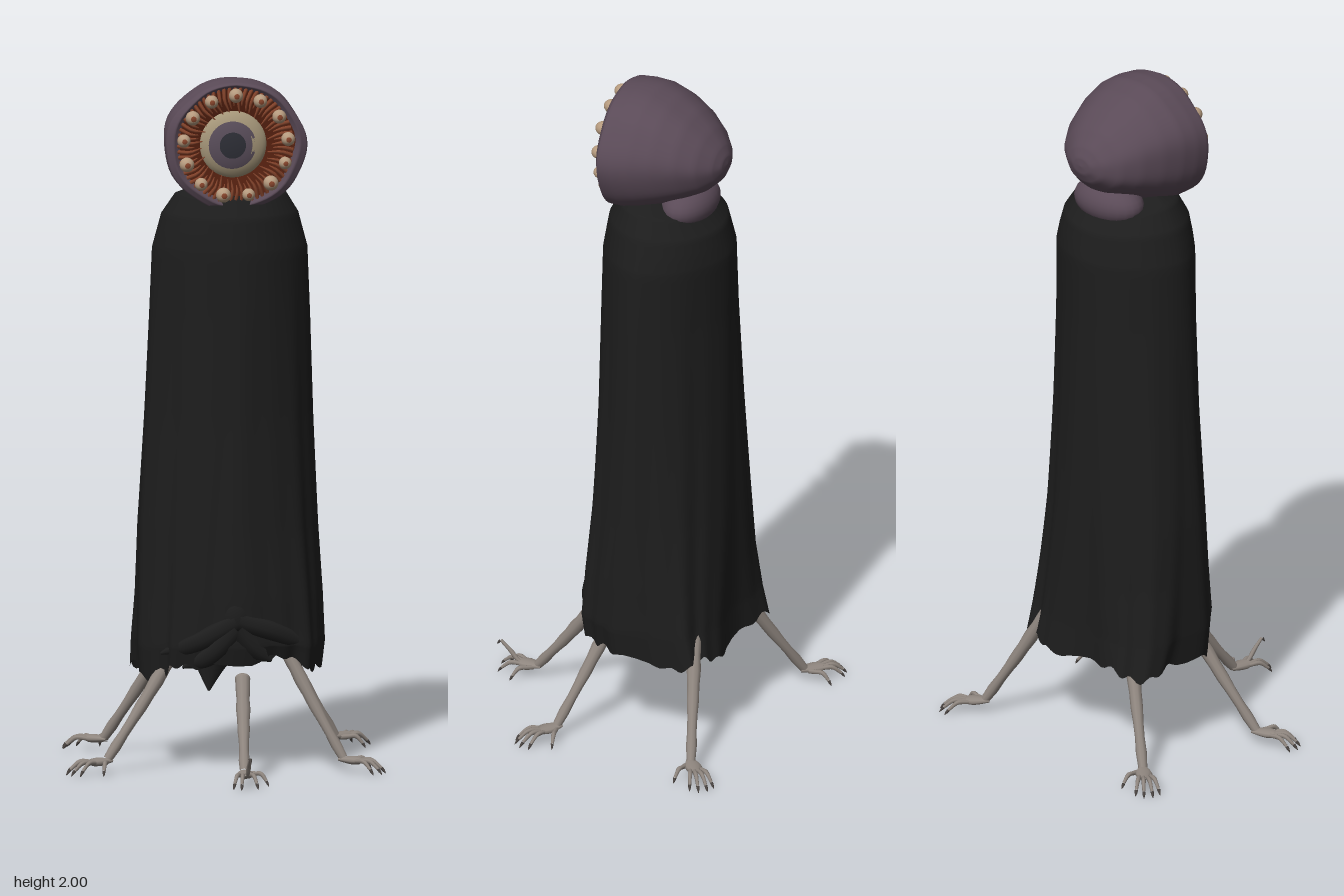
import * as THREE from 'three';
import { mergeGeometries } from 'three/addons/utils/BufferGeometryUtils.js';

const mat = (name, color, side = THREE.FrontSide) => {
  const m = new THREE.MeshStandardMaterial({ color, side });
  m.name = name;
  return m;
};
const V = (x, y, z) => new THREE.Vector3(x, y, z);
const lerp = THREE.MathUtils.lerp;

// Interpolate rows of numbers at position t in 0..1
function sample(rows, t) {
  const f = t * (rows.length - 1), i = Math.min(Math.floor(f), rows.length - 2);
  return rows[i].map((v, k) => lerp(v, rows[i + 1][k], f - i));
}

// Skin a surface over closed rings of points
function loft(rows, cols, point) {
  const pos = [], idx = [];
  for (let i = 0; i <= rows; i++)
    for (let j = 0; j < cols; j++) pos.push(...point(i / rows, (j / cols) * Math.PI * 2));
  for (let i = 0; i < rows; i++)
    for (let j = 0; j < cols; j++) {
      const k = (j + 1) % cols, a = i * cols + j, b = i * cols + k, c = a + cols, d = b + cols;
      idx.push(a, c, b, b, c, d);
    }
  const g = new THREE.BufferGeometry();
  g.setAttribute('position', new THREE.Float32BufferAttribute(pos, 3));
  g.setIndex(idx);
  g.computeVertexNormals();
  return g;
}

// Tube with a radius that changes along its path
function taper(points, radii, n = 16, sides = 8) {
  const curve = new THREE.CatmullRomCurve3(points);
  const g = new THREE.TubeGeometry(curve, n, 1, sides);
  const p = g.attributes.position, v = V(0, 0, 0), rows = radii.map(r => [r]);
  for (let i = 0; i < p.count; i++) {
    const t = Math.floor(i / (sides + 1)) / n, c = curve.getPointAt(t);
    v.fromBufferAttribute(p, i).sub(c).multiplyScalar(sample(rows, t)[0]).add(c);
    p.setXYZ(i, v.x, v.y, v.z);
  }
  return g;
}

const ball = (r, sx, sy, sz, x, y, z) =>
  new THREE.SphereGeometry(r, 24, 16).scale(sx, sy, sz).translate(x, y, z);

export function createModel() {
  const model = new THREE.Group();
  const cloth = mat('black cloth', 0x1d1d1d, THREE.DoubleSide);
  const skin = mat('purple skin', 0x5a4a57, THREE.DoubleSide);
  const bone = mat('grey bone', 0x8f867f);
  const nail = mat('dark nail', 0x4a4441);
  const flesh = mat('dark red flesh', 0x55200f, THREE.DoubleSide);
  const fibre = mat('rust fibre', 0x87452c);
  const ivory = mat('tan ivory', 0xb59a7e);
  const sclera = mat('eye white', 0xa59679);
  const iris = mat('iris', 0x5a4e5b);
  const pupil = mat('pupil', 0x2e2f37);
  const add = (name, geo, material, parent = model) => {
    const m = new THREE.Mesh(geo, material);
    m.name = name;
    parent.add(m);
    return m;
  };

  // Cloak: y, min x, max x, min z, max z, squareness
  const cloak = [
    [0.28, -0.245, 0.278, -0.335, 0.105, 0.6],
    [0.36, -0.252, 0.288, -0.325, 0.12, 0.66],
    [0.5, -0.25, 0.285, -0.32, 0.12, 0.76],
    [0.7, -0.245, 0.275, -0.313, 0.112, 0.88],
    [1.0, -0.227, 0.264, -0.303, 0.102, 0.99],
    [1.3, -0.212, 0.256, -0.293, 0.097, 1.06],
    [1.5, -0.202, 0.249, -0.288, 0.092, 1.08],
    [1.6, -0.175, 0.222, -0.265, 0.075, 1.06],
    [1.66, -0.135, 0.185, -0.22, 0.04, 1],
    [1.69, -0.06, 0.1, -0.14, -0.02, 1],
    [1.7, 0.02, 0.021, -0.08, -0.079, 1],
  ];
  add('cloak', loft(80, 120, (t, a) => {
    const [y, x0, x1, z0, z1, e] = sample(cloak, t);
    const c = Math.cos(a), s = Math.sin(a), diagonal = Math.sin(2 * a);
    const low = Math.max(0, 1 - t / 0.62), hem = Math.max(0, 1 - t / 0.12);
    // The front right and back left corners hang slacker; the back right one flares
    let corner = 1;
    if (diagonal < 0 && s > 0) corner += 0.12 * diagonal * THREE.MathUtils.clamp((0.65 - t) / 0.45, 0, 1);
    if (diagonal < 0 && s < 0) corner += diagonal * (0.03 * low + 0.07 * Math.sin(Math.PI * Math.min(1, t / 0.65)));
    if (diagonal > 0 && s < 0) corner += 0.07 * diagonal * Math.max(0, 1 - t / 0.2);
    const fold = corner * (0.995 + 0.005 * Math.sin(7 * a) * Math.max(0, 1 - t)
      + low * (0.03 * Math.sin(9 * a + 0.6) + 0.016 * Math.sin(17 * a + 3 * t) - 0.012));
    const px = Math.sign(c) * Math.abs(c) ** e * fold, pz = Math.sign(s) * Math.abs(s) ** e * fold;
    const front = Math.max(0, s) ** 3, back = Math.max(0, -s);
    const jag = 0.012 * Math.sin(6 * a + 0.5) + 0.008 * Math.sin(19 * a + 1) + 0.05 * front
      + 0.035 * Math.max(0, s) * Math.max(0, c) - 0.01;
    const slope = t > 0.6 ? back * 0.035 * (t - 0.6) / 0.4 : 0;
    const dent = 0.03 * low * back ** 8;
    return [(x0 + x1) / 2 + px * (x1 - x0) / 2, y + hem * jag - slope,
      (z0 + z1) / 2 + pz * (z1 - z0) / 2 + dent];
  }), cloth);

  // Knotted bunch of cloth at the front hem
  add('knot', ball(0.05, 0.9, 1.2, 0.55, 0.02, 0.45, 0.1), cloth);
  const swags = [
    [[0.02, 0.44, 0.1], [-0.09, 0.38, 0.075], [-0.19, 0.34, 0.02]],
    [[0.02, 0.42, 0.1], [-0.06, 0.34, 0.08], [-0.13, 0.3, 0.04]],
    [[0.02, 0.44, 0.1], [0.12, 0.41, 0.095], [0.23, 0.36, 0.06]],
    [[0.02, 0.42, 0.1], [0.07, 0.36, 0.095], [0.12, 0.32, 0.08]],
  ];
  for (const s of swags)
    add('swag', taper(s.map(p => V(...p)), [0.034, 0.034, 0.03, 0.004]), cloth);
  add('hangingCloth', taper([V(-0.02, 0.38, -0.05), V(-0.035, 0.29, -0.065), V(-0.04, 0.215, -0.07)],
    [0.07, 0.05, 0.003]), cloth);

  // Head shell: z, half width, top y, bottom y
  const shell = [
    [0.035, 0.165, 1.975, 1.652], [0.047, 0.182, 1.988, 1.636], [0.035, 0.203, 1.994, 1.622],
    [-0.01, 0.204, 2.0, 1.622], [-0.06, 0.198, 1.998, 1.635], [-0.12, 0.18, 1.977, 1.658],
    [-0.18, 0.152, 1.942, 1.685], [-0.23, 0.115, 1.898, 1.712], [-0.265, 0.07, 1.855, 1.745],
    [-0.28, 0.035, 1.825, 1.775], [-0.283, 0.001, 1.801, 1.8],
  ];
  add('head', loft(50, 64, (t, a) => {
    const [z, w, top, bot] = sample(shell, t);
    const lump = 1 + 0.012 * Math.sin(7 * a + 1) + 0.008 * Math.sin(4 * a + 9 * t);
    return [0.025 + Math.cos(a) * w * lump,
      (top + bot) / 2 + Math.sin(a) * Math.min(lump, 1) * (top - bot) / 2, z];
  }), skin);
  add('neck', ball(0.1, 1.2, 0.65, 0.76, 0.025, 1.658, -0.165), skin);

  // Face: flesh pit, fibres, eye and bead ring
  const face = new THREE.Group();
  face.name = 'face';
  face.position.set(0.022, 1.813, 0);
  model.add(face);
  add('fleshPit', loft(6, 48, (t, a) => {
    const r = lerp(0.175, 0.06, t);
    return [Math.cos(a) * r, Math.sin(a) * r, 0.038 - 0.03 * t];
  }), flesh, face);
  const fibres = [], beads = [], beadSpots = [];
  for (let i = 0; i < 64; i++) {
    const a = (i / 64) * Math.PI * 2, k = 0.012 * Math.sin(i * 2.4);
    const at = (r, z, d = 0) => V(Math.cos(a + d) * r, Math.sin(a + d) * r, z);
    fibres.push(taper([at(0.168, 0.036), at(0.135, 0.043, 0.04), at(0.106 + k, 0.036, k * 3)],
      [0.006, 0.0052, 0.0015], 5, 5));
  }
  for (let i = 0; i < 13; i++) {
    const a = ((i + 0.25) / 13) * Math.PI * 2, r = 0.02 + 0.004 * Math.sin(i * 3.1);
    const x = Math.cos(a) * 0.152, y = Math.sin(a) * 0.146;
    beads.push(ball(r, 1, 1, 1.1, x, y, 0.056));
    beadSpots.push(new THREE.SphereGeometry(r * 1.03, 12, 6, 0, Math.PI * 2, 0, 0.4)
      .rotateX(Math.PI / 2).scale(1, 1, 1.1).translate(x, y, 0.056));
  }
  add('fibres', mergeGeometries(fibres), fibre, face);
  add('beads', mergeGeometries(beads), ivory, face);
  add('beadSpots', mergeGeometries(beadSpots), fibre, face);
  const cap = (r, angle) => new THREE.SphereGeometry(r, 40, 16, 0, Math.PI * 2, 0, angle)
    .rotateX(Math.PI / 2).scale(1, 1, 0.4).translate(-0.004, 0, 0.008);
  add('eyeball', cap(0.1, Math.PI), sclera, face);
  add('iris', cap(0.102, 0.74).translate(-0.004, 0, 0), iris, face);
  add('pupil', cap(0.105, 0.37).translate(-0.004, 0, 0), pupil, face);

  // Arms used as legs: upper end, wrist, hand direction (x, z), thumb side
  const arms = [
    ['backRightArm', [-0.12, 0.37, -0.23], [-0.305, 0.04, -0.365], [-0.75, -0.65], -1],
    ['backLeftArm', [0.17, 0.37, -0.25], [0.36, 0.04, -0.33], [0.8, -0.65], -1],
    ['frontLeftArm', [0.16, 0.37, 0], [0.325, 0.04, 0.115], [0.85, 0.55], 1],
    ['frontRightArm', [-0.13, 0.37, -0.02], [-0.35, 0.04, 0.055], [-0.9, 0.45], 1],
    ['frontArm', [0.03, 0.28, 0.14], [0.01, 0.04, 0.33], [-0.05, 1], 1],
  ];
  for (const [name, from, to, dir, side] of arms) {
    const arm = new THREE.Group();
    arm.name = name;
    model.add(arm);
    const A = V(...from), B = V(...to);
    add('forearm', taper([A, A.clone().lerp(B, 0.5).add(V(0, -0.006, 0)), B],
      [0.022, 0.021, 0.019, 0.021, 0.018, 0.018, 0.015, 0.014, 0.016, 0.013], 36, 10), bone, arm);
    add('elbow', ball(0.022, 1, 0.7, 1, ...from), bone, arm);
    const hand = new THREE.Group();
    hand.name = 'hand';
    hand.position.set(B.x, 0, B.z);
    hand.rotation.y = Math.atan2(dir[0], dir[1]);
    arm.add(hand);
    add('palm', taper([V(0, 0.038, -0.012), V(0, 0.036, 0.03), V(0, 0.034, 0.066)],
      [0.012, 0.017, 0.022, 0.025, 0.022, 0.003], 16, 12)
      .translate(0, -0.035, 0).scale(1, 0.5, 1).translate(0, 0.035, 0), bone, hand);
    for (let f = 0; f < 5; f++) {
      const thumb = f === 4, a = side * (thumb ? 0.85 : -0.34 + f * 0.2);
      const len = thumb ? 0.085 : 0.118 + 0.012 * Math.sin(f * 1.1);
      const lift = name === 'frontArm' && f === 2 ? 0.075 : 0;
      const at = (d, y) => V(Math.sin(a) * d, y, Math.cos(a) * d);
      const knuckle = at(len * 0.7, 0.037 + lift * 0.4), tip = at(len * 0.93, 0.017 + lift);
      add('finger', taper([at(0.015, 0.034), at(len * 0.45, 0.036), knuckle, tip],
        [0.007, 0.0075, 0.006, 0.007, 0.0055, 0.0045], 14, 7), bone, hand);
      add('nail', taper([tip, at(len * 0.98, 0.01 + lift), at(len * 1.03, 0.002 + lift)],
        [0.0048, 0.0038, 0.0005], 5, 6), nail, hand);
    }
  }
  return model;
}
